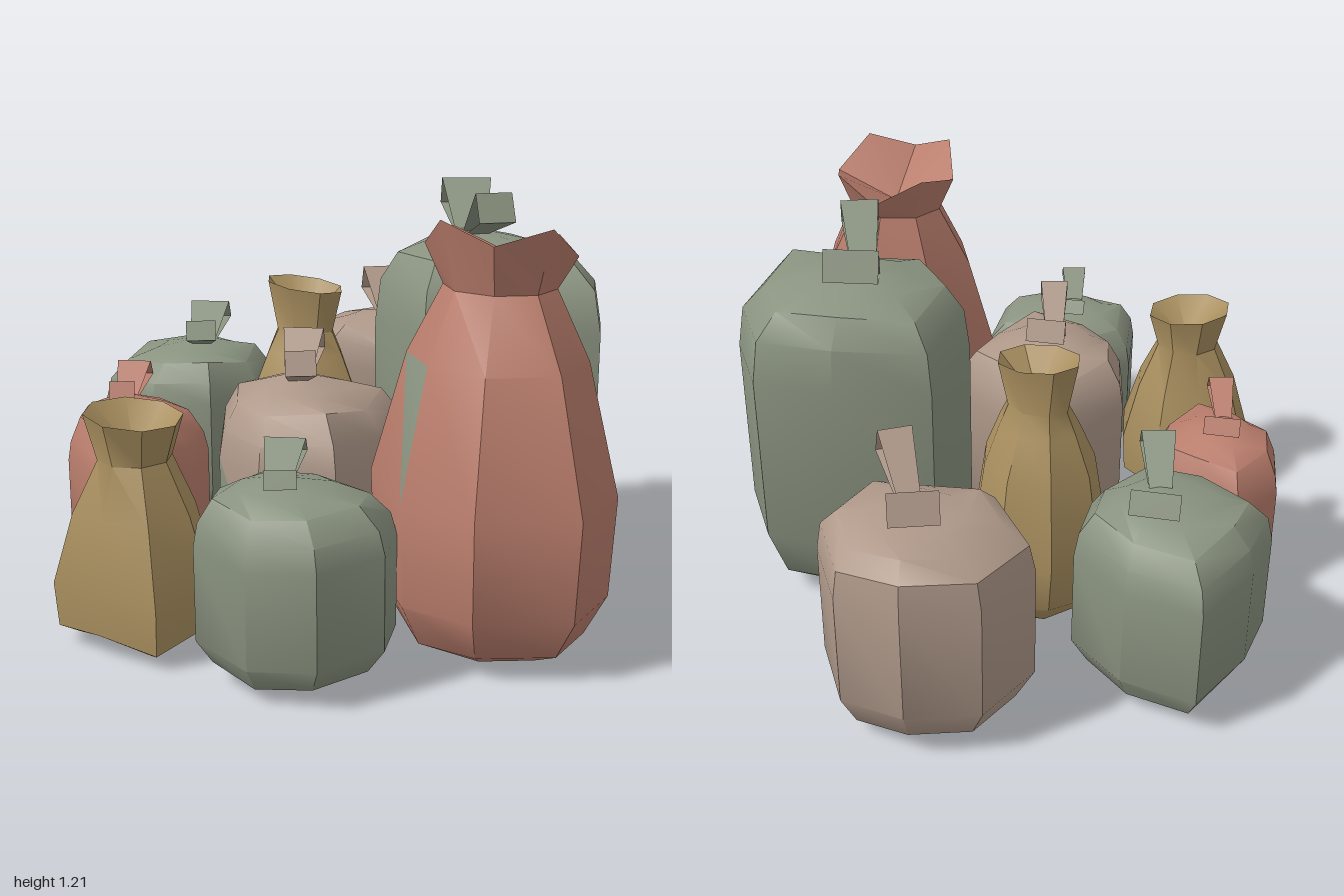
import * as THREE from 'three';
import { toCreasedNormals } from 'three/addons/utils/BufferGeometryUtils.js';

const paint = (name, color) => {
  const m = new THREE.MeshStandardMaterial({ color, side: THREE.DoubleSide });
  m.name = name;
  return m;
};
const lerp = THREE.MathUtils.lerp;

// Eight-sided footprint: one radius per direction, clockwise from the back
const around = (bag, radiusX, radiusZ = radiusX) => bag.radii.map((_, i) => {
  const a = i * Math.PI / 4 + (bag.turn || 0);
  return [bag.x + Math.sin(a) * radiusX(i), bag.z - Math.cos(a) * radiusZ(i)];
});

// Cross-sections: the lower rows shrink to the centre, the upper rows to the neck
function bagRings(bag, neck, lower, upper) {
  const foot = around(bag, (i) => bag.radii[i]);
  const ring = (target, y, t) => foot.map(([x, z], i) => [
    lerp(x, target[i][0], t),
    y + (t > 0.3 ? 0 : 0.015 * Math.sin(i * 2.4 + bag.x * 9)),
    lerp(z, target[i][1], t)]);
  const centre = foot.map(() => [bag.x, bag.z]);
  return [
    ...lower.map(([y, t]) => ring(centre, y, t)),
    ...upper.map(([y, t]) => ring(neck, y, t)),
  ];
}

// Skins the rings; patches [row, column, triangle] take the second material
function skin(bag, rings, topCentre) {
  const main = [], extra = [];
  const last = rings[rings.length - 1];
  const bottom = [bag.x, rings[0][0][1] - 0.008, bag.z];
  rings[0].forEach((_, i) => {
    const j = (i + 1) % rings[0].length;
    for (let r = 0; r < rings.length - 1; r++) {
      const a = rings[r][i], b = rings[r][j], c = rings[r + 1][i], d = rings[r + 1][j];
      [[a, c, d], [a, d, b]].forEach((tri, k) => {
        const patched = bag.patches?.some((p) => p[0] === r && p[1] === i && p[2] === k);
        (patched ? extra : main).push(...tri.flat());
      });
    }
    main.push(...bottom, ...rings[0][i], ...rings[0][j]);
    main.push(...topCentre, ...last[j], ...last[i]);
  });
  const g = new THREE.BufferGeometry();
  g.setAttribute('position', new THREE.Float32BufferAttribute([...main, ...extra], 3));
  g.addGroup(0, main.length / 3, 0);
  if (extra.length) g.addGroup(main.length / 3, extra.length / 3, 1);
  return toCreasedNormals(g, 0.62);
}

// Flat ribbon bent into a triangular loop, leaving the knot at an angle
function ribbonLoop([cx, cz], angle, length, y, h, w) {
  const dx = Math.cos(angle), dz = Math.sin(angle);
  const path = [[0, -0.02, 0.6], [0.82, h, 1], [1, h * 0.4, 1], [0.05, -0.02, 0.6]];
  const pos = [], index = [];
  path.forEach(([t, up, s], i) => {
    const x = cx + dx * length * t, z = cz + dz * length * t, half = s * w / 2;
    pos.push(x - dz * half, y + up, z + dx * half, x + dz * half, y + up, z - dx * half);
    if (i) index.push(2 * i - 2, 2 * i - 1, 2 * i, 2 * i - 1, 2 * i + 1, 2 * i);
  });
  const g = new THREE.BufferGeometry();
  g.setAttribute('position', new THREE.Float32BufferAttribute(pos, 3));
  g.setIndex(index);
  return toCreasedNormals(g, 0.3);
}

const TIED = [
  { name: 'backBag', color: 'beige', x: -0.22, z: -0.74, turn: 0.35, shoulder: 0.6, top: 0.68, peak: 0.82,
    radii: [0.275, 0.29, 0.29, 0.24, 0.27, 0.32, 0.29, 0.27],
    knot: [-0.19, -0.73], loop: 0.19, swing: -0.32, patches: [[2, 1, 0]] },
  { name: 'leftBag', color: 'green', x: -0.72, z: -0.23, shoulder: 0.52, top: 0.63, peak: 0.73,
    radii: [0.26, 0.28, 0.27, 0.27, 0.26, 0.31, 0.26, 0.31], knot: [-0.69, -0.24], loop: 0.19 },
  { name: 'largeBag', color: 'green', x: 0.38, z: -0.28, turn: 0.26, shoulder: 0.93, top: 1.08, peak: 1.22,
    radii: [0.35, 0.345, 0.4, 0.29, 0.34, 0.37, 0.4, 0.33], knot: [0.3, -0.29], loop: 0.22, swing: -0.14 },
  { name: 'smallBag', color: 'red', x: -0.6, z: 0.3, shoulder: 0.43, top: 0.57, peak: 0.65,
    radii: [0.21, 0.24, 0.22, 0.25, 0.22, 0.21, 0.22, 0.24], knot: [-0.62, 0.31], loop: 0.15 },
  { name: 'middleBag', color: 'beige', x: 0.03, z: 0.31, shoulder: 0.57, top: 0.71, peak: 0.82,
    radii: [0.27, 0.32, 0.27, 0.31, 0.27, 0.26, 0.29, 0.32],
    knot: [0, 0.3], loop: 0.17, patches: [[2, 4, 1]] },
  { name: 'frontBag', color: 'green', x: 0.24, z: 0.77, shoulder: 0.46, top: 0.57, peak: 0.64,
    radii: [0.21, 0.3, 0.28, 0.25, 0.23, 0.26, 0.27, 0.28], knot: [0.21, 0.78], loop: 0.16 },
];

// The mouth is an ellipse tilted along x and z, with raised alternate corners
const NECKED = [
  { name: 'middleNeckedBag', color: 'ochre', x: -0.22, z: -0.15,
    radii: [0.21, 0.2, 0.23, 0.19, 0.21, 0.23, 0.23, 0.22],
    lower: [[0.02, 0.4], [0.09, 0.12], [0.25, 0]], upper: [[0.53, 0.35], [0.66, 0.75], [0.73, 1]],
    mouth: { x: -0.23, z: -0.16, rx: 0.135, rz: 0.1, y: 0.88, tiltX: -0.015, tiltZ: 0, wave: 0 } },
  { name: 'tallBag', color: 'red', x: 0.63, z: 0.32, turn: -0.25,
    radii: [0.33, 0.37, 0.345, 0.38, 0.345, 0.31, 0.345, 0.33],
    lower: [[0.03, 0.45], [0.07, 0.22], [0.19, 0.04], [0.48, 0]], upper: [[0.84, 0.5], [1.03, 1]],
    mouth: { x: 0.62, z: 0.28, rx: 0.21, rz: 0.19, y: 1.16, tiltX: 0, tiltZ: 0.04, wave: 0.03 },
    patches: [[3, 5, 0], [3, 0, 0], [3, 0, 1], [3, 7, 0]] },
  { name: 'frontNeckedBag', color: 'ochre', x: -0.27, z: 0.75,
    radii: [0.2, 0.22, 0.24, 0.27, 0.2, 0.24, 0.24, 0.2],
    lower: [[0.04, 0.3], [0.07, 0.04], [0.2, 0]], upper: [[0.4, 0.45], [0.55, 1]],
    mouth: { x: -0.26, z: 0.76, rx: 0.14, rz: 0.14, y: 0.675, tiltX: -0.015, tiltZ: 0, wave: 0 } },
];

export function createModel() {
  const model = new THREE.Group();
  model.name = 'bagPile';
  const colors = {
    green: paint('greyGreen', 0x8a9380),
    red: paint('dustyRed', 0xb97d6c),
    ochre: paint('ochre', 0xa98f5f),
    beige: paint('beige', 0xae9889),
  };

  // Squat bags closed with a knot and two ribbon loops
  TIED.forEach((b) => {
    const { shoulder: h, top, knot, loop, swing = 0 } = b;
    const bag = new THREE.Group();
    bag.name = b.name;
    const neck = around({ ...b, x: knot[0], z: knot[1] }, (i) => b.radii[i] * 0.1);
    const rings = bagRings(b, neck,
      [[0.03, 0.45], [0.03 + 0.07 * h, 0.17], [0.28 * h, 0]],
      [[0.86 * h, 0], [h, 0.06], [lerp(h, top, 0.55), 0.26], [lerp(h, top, 0.8), 0.6], [top, 1]]);
    const body = new THREE.Mesh(skin(b, rings, [knot[0], top, knot[1]]),
      [colors[b.color], colors.green]);
    body.name = 'body';
    bag.add(body);
    [['backLoop', -1.94, 1, 0.72], ['frontLoop', 1, 1.1, 0.52]].forEach(([name, angle, reach, wide]) => {
      const ribbon = new THREE.Mesh(
        ribbonLoop(knot, angle + swing, loop * reach, top, b.peak - top, loop * wide), colors[b.color]);
      ribbon.name = name;
      bag.add(ribbon);
    });
    model.add(bag);
  });

  // Slender bags with a gathered neck and a flared, hollow mouth
  NECKED.forEach((b) => {
    const { x, z, rx, rz, y, tiltX, tiltZ, wave } = b.mouth;
    const ellipse = (size) => around({ ...b, x, z }, () => rx * size, () => rz * size);
    const rim = ellipse(1).map(([px, pz], i) => [px,
      y + tiltX * (px - x) / rx + tiltZ * (pz - z) / rz + (i % 2 ? wave : -wave), pz]);
    const rings = [...bagRings(b, ellipse(0.75), b.lower, b.upper), rim];
    const neckY = b.upper[b.upper.length - 1][0];
    const body = new THREE.Mesh(skin(b, rings, [x, neckY + 0.01, z]),
      [colors[b.color], colors.green]);
    body.name = b.name;
    model.add(body);
  });
  return model;
}
